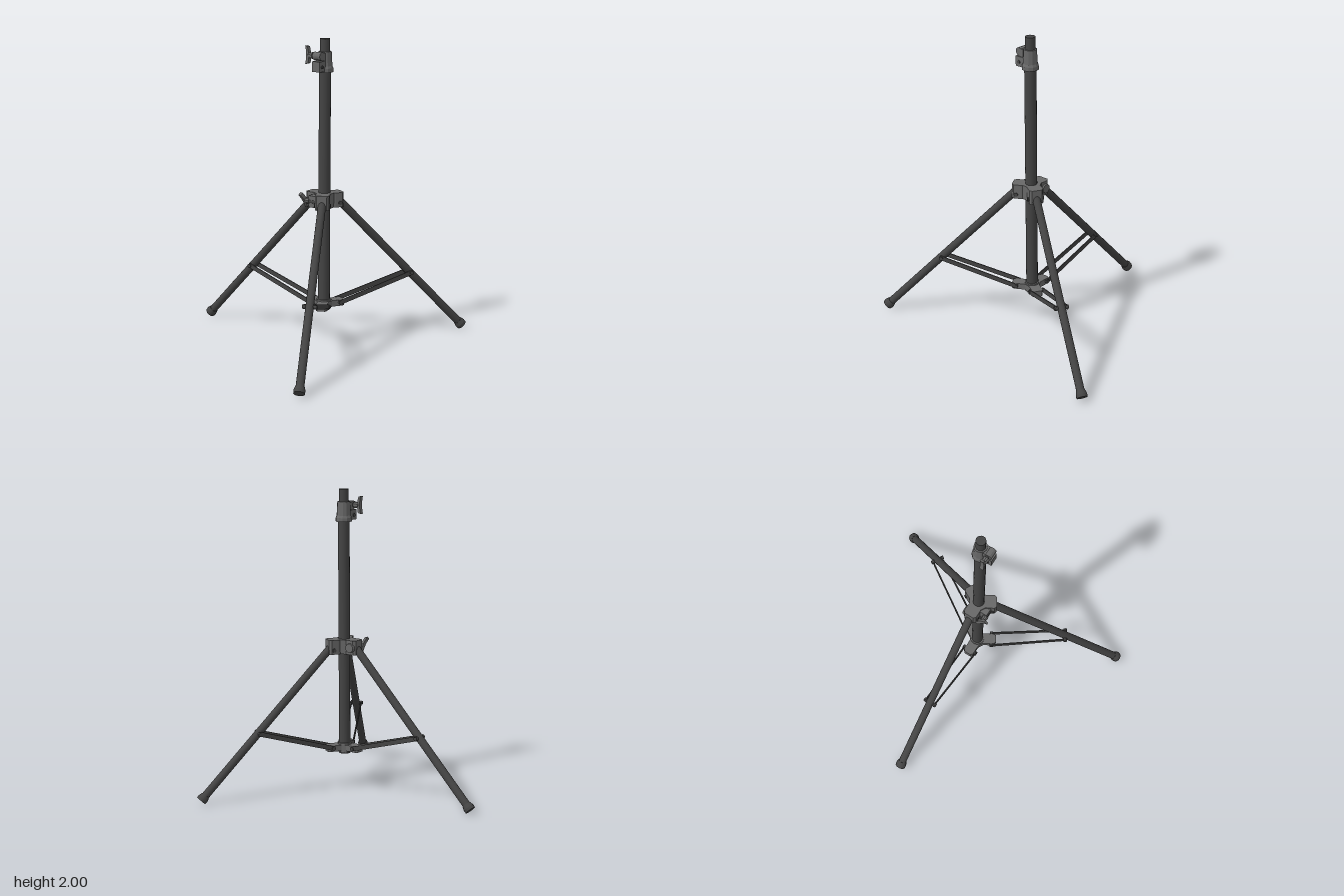
import * as THREE from 'three';

const DARK = new THREE.MeshStandardMaterial({ color: 0x444444 });
const GREY = new THREE.MeshStandardMaterial({ color: 0x686868, flatShading: true });
const AXIS_Z = 0.25; // the pole stands forward of the centre
const V = (x, y, z) => new THREE.Vector3(x, y, z);

function add(parent, name, geometry, material, x = 0, y = 0, z = 0) {
  const mesh = new THREE.Mesh(geometry, material);
  mesh.name = name;
  mesh.position.set(x, y, z);
  parent.add(mesh);
  return mesh;
}

// Round rod from a to b
function rod(parent, name, a, b, r0, r1, material, sides = 14) {
  const mesh = add(parent, name, new THREE.CylinderGeometry(r1, r0, a.distanceTo(b), sides), material);
  mesh.position.copy(a).lerp(b, 0.5);
  mesh.quaternion.setFromUnitVectors(V(0, 1, 0), b.clone().sub(a).normalize());
  return mesh;
}

// Flat strap from a to b, standing on edge
function strap(parent, name, a, b, thick, tall) {
  const mesh = new THREE.Mesh(new THREE.BoxGeometry(thick, tall, a.distanceTo(b)), DARK);
  mesh.name = name;
  mesh.position.copy(a).lerp(b, 0.5);
  mesh.lookAt(b);
  parent.add(mesh);
}

// Three-armed hub plate, one arm for each leg
function hubGeometry(reach, half, waist, height) {
  const shape = new THREE.Shape();
  for (let i = 0; i < 3; i++) {
    const a = Math.PI / 2 + (i * Math.PI * 2) / 3;
    const c = Math.cos(a), s = Math.sin(a);
    const put = (u, v) => {
      const x = c * u - s * v, y = s * u + c * v;
      if (i === 0 && !shape.curves.length && v === -half && u < reach) shape.moveTo(x, y);
      else shape.lineTo(x, y);
    };
    put(reach - 0.015, -half);
    put(reach, -half * 0.7);
    put(reach, half * 0.7);
    put(reach - 0.015, half);
    put(Math.max(waist * 0.5, reach * 0.5), half);
    // flat web towards the next arm
    const w = a + Math.PI / 3;
    for (const d of [-0.3, 0.3]) shape.lineTo(Math.cos(w + d) * waist, Math.sin(w + d) * waist);
    const n = a + (Math.PI * 2) / 3, k = reach * 0.5;
    shape.lineTo(Math.cos(n) * k + Math.sin(n) * half, Math.sin(n) * k - Math.cos(n) * half);
  }
  return new THREE.ExtrudeGeometry(shape, { depth: height, bevelEnabled: false }).rotateX(-Math.PI / 2);
}

// Winged screw pointing to -z, its wing standing upright
function wingScrew(parent, name, x, y, z, tilt) {
  const g = new THREE.Group();
  g.name = name;
  g.position.set(x, y, z);
  g.rotation.z = tilt;
  rod(g, 'stem', V(0, 0, 0.06), V(0, 0, -0.035), 0.014, 0.014, DARK, 10);
  rod(g, 'boss', V(0, 0, 0.005), V(0, 0, -0.03), 0.022, 0.017, GREY, 10);
  const s = new THREE.Shape();
  s.moveTo(0.035, 0.056);
  s.lineTo(0.052, 0.06);
  s.quadraticCurveTo(0.036, 0, 0.052, -0.056);
  s.lineTo(0.03, -0.05);
  s.quadraticCurveTo(0.016, 0, 0.035, 0.056);
  const wing = new THREE.ExtrudeGeometry(s, { depth: 0.026, bevelEnabled: false, curveSegments: 6 });
  add(g, 'wing', wing.translate(0, 0, -0.013).rotateY(Math.PI / 2), GREY);
  parent.add(g);
}

export function createModel() {
  const model = new THREE.Group();
  model.name = 'tripodStand';
  const stand = new THREE.Group();
  stand.name = 'stand';
  stand.position.z = AXIS_Z;
  model.add(stand);

  // Telescoping pole
  rod(stand, 'outerPole', V(0, 0.24, 0), V(0, 1.82, 0), 0.038, 0.038, DARK, 16);
  rod(stand, 'innerPole', V(0, 1.78, 0), V(0, 2, 0), 0.032, 0.032, DARK, 16);

  // Clamp at the top of the outer pole
  const clamp = [[0.036, 1.79], [0.053, 1.79], [0.053, 1.815], [0.047, 1.83], [0.042, 1.92], [0.032, 1.92]];
  add(stand, 'topClamp', new THREE.LatheGeometry(clamp.map(([r, y]) => new THREE.Vector2(r, y)), 12), GREY);
  add(stand, 'clampLug', new THREE.BoxGeometry(0.06, 0.065, 0.06), GREY, -0.065, 1.83, 0);
  add(stand, 'clampUpperLug', new THREE.BoxGeometry(0.035, 0.05, 0.06), GREY, -0.05, 1.89, 0);
  rod(stand, 'clampEye', V(-0.067, 1.895, -0.03), V(-0.067, 1.895, 0.03), 0.026, 0.026, GREY, 12);
  rod(stand, 'clampRivet', V(-0.067, 1.828, -0.036), V(-0.067, 1.828, 0.036), 0.011, 0.011, DARK, 8);
  wingScrew(stand, 'topWingScrew', -0.065, 1.895, -0.045, 0);

  // Upper hub with its lock, and the lower hub
  add(stand, 'upperHub', hubGeometry(0.12, 0.046, 0.064, 0.095), GREY, 0, 0.922, 0);
  add(stand, 'hubLug', new THREE.BoxGeometry(0.05, 0.075, 0.06), GREY, -0.07, 0.967, -0.025);
  wingScrew(stand, 'hubWingScrew', -0.085, 0.967, -0.055, 0.65);
  add(stand, 'lowerHub', hubGeometry(0.13, 0.036, 0.055, 0.04), GREY, 0, 0.262, 0);
  rod(stand, 'lowerCollar', V(0, 0.25, 0), V(0, 0.312, 0), 0.048, 0.048, GREY, 12);

  // Three legs with their paired braces
  for (let i = 0; i < 3; i++) {
    const leg = new THREE.Group();
    leg.name = ['rearLeg', 'rightLeg', 'leftLeg'][i];
    leg.rotation.y = Math.PI / 2 + (i * Math.PI * 2) / 3;

    const top = V(0.095, 0.965, 0), end = V(1.003, 0.025, 0);
    const at = (t) => top.clone().lerp(end, t);
    rod(leg, 'legTube', top, at(0.99), 0.026, 0.026, DARK);
    rod(leg, 'footSleeve', at(0.965), at(0.985), 0.028, 0.036, DARK);
    rod(leg, 'footPad', at(0.985), end, 0.036, 0.035, DARK);

    const pin = (name, r, y, half, radius) => {
      rod(leg, name, V(r, y, -half), V(r, y, half), radius, radius, DARK, 10);
    };
    pin('legPivot', 0.09, 0.95, 0.053, 0.013);
    pin('bracePin', 0.606, 0.435, 0.046, 0.013);
    pin('lowerPin', 0.098, 0.287, 0.054, 0.013);

    for (const side of [-1, 1]) {
      strap(leg, 'brace', V(0.09, 0.285, side * 0.045), V(0.615, 0.438, side * 0.034), 0.007, 0.03);
    }
    stand.add(leg);
  }

  // Round pivot cap on the rear arm
  rod(stand, 'pivotCap', V(0.04, 0.967, -0.082), V(0.056, 0.967, -0.082), 0.034, 0.03, GREY, 14);
  return model;
}
